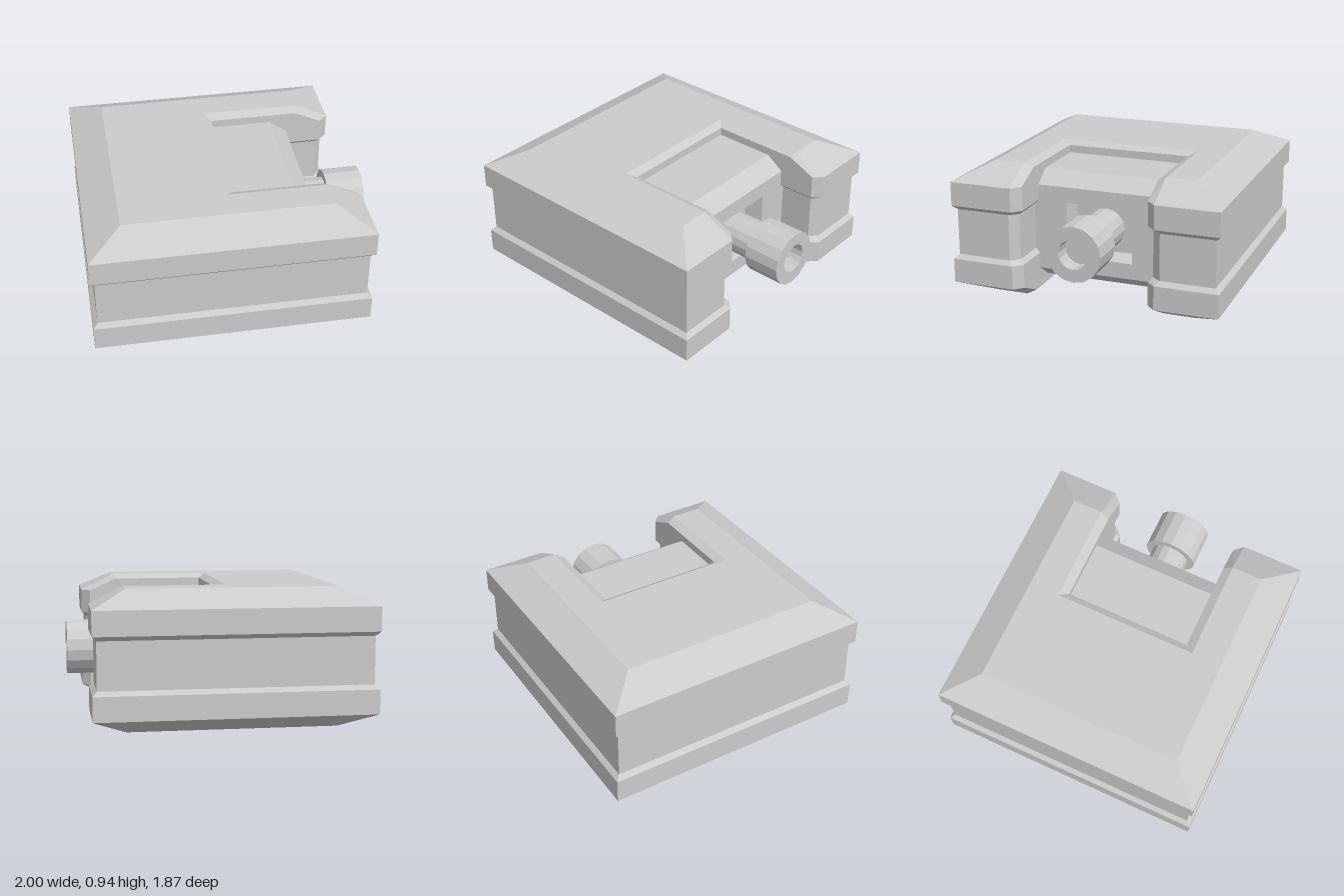
import * as THREE from 'three';

const MID = 0.47; // height of the horizontal mirror plane and the bolt axis
const material = new THREE.MeshStandardMaterial({ color: 0xcccccc, flatShading: true });

function addMesh(parent, name, geometry) {
  const mesh = new THREE.Mesh(geometry, material);
  mesh.name = name;
  parent.add(mesh);
  return mesh;
}

// Skin a list of closed rings; startCap / endCap list quads of corner indices.
function loft(rings, startCap, endCap) {
  const positions = [];
  const tri = (a, b, c) => {
    const area = new THREE.Triangle(a, b, c).getArea();
    if (area > 1e-7) [a, b, c].forEach((p) => positions.push(p.x, p.y, p.z));
  };
  const quad = (a, b, c, d) => { tri(a, b, c); tri(a, c, d); };
  for (let k = 0; k < rings.length - 1; k++) {
    const lo = rings[k], hi = rings[k + 1], n = lo.length;
    for (let i = 0; i < n; i++) {
      const j = (i + 1) % n;
      quad(lo[i], hi[i], hi[j], lo[j]);
    }
  }
  const first = rings[0], last = rings[rings.length - 1];
  startCap.forEach(([a, b, c, d]) => quad(first[a], first[b], first[c], first[d]));
  endCap.forEach(([a, b, c, d]) => quad(last[d], last[c], last[b], last[a]));
  const geometry = new THREE.BufferGeometry();
  geometry.setAttribute('position', new THREE.Float32BufferAttribute(positions, 3));
  geometry.computeVertexNormals();
  return geometry;
}

// Half outline [x, z, y] of the U, mirrored in z to a full ring.
function uRing(half, y) {
  const back = half.map(([x, z, h]) => new THREE.Vector3(x, h ?? y, z));
  const front = back.map((p) => new THREE.Vector3(p.x, p.y, -p.z)).reverse();
  return [...back, ...front];
}

function bodyGeometry() {
  // Order: rear corner, arm tip, tip inner corner (2), arm bend, slot corner
  const full = [[-1, -0.935], [0.87, -0.935], [0.87, -0.5], [0.81, -0.44], [0.62, -0.44], [0, -0.44]];
  const waist = [[-0.97, -0.905], [0.84, -0.905], [0.84, -0.53], [0.79, -0.47], [0.62, -0.47], [-0.03, -0.47]];
  const rimHeights = [0.825, 0.825, 0.825, 0.825, 0.91, 0.91];
  const rim = full.map(([x, z], i) => [x, z, rimHeights[i]]);
  const top = [[-0.77, -0.71], [0.64, -0.71], [0.64, -0.5], [0.64, -0.5], [0.64, -0.5], [-0.05, -0.5]];

  const upper = [uRing(waist, 0.63), uRing(full, 0.66), uRing(rim), uRing(top, 2 * MID)];
  const lower = upper
    .map((ring) => ring.map((p) => new THREE.Vector3(p.x, 2 * MID - p.y, p.z)))
    .reverse();
  const caps = [[0, 1, 2, 5], [0, 5, 6, 11], [6, 9, 10, 11]];
  return loft([...lower, ...upper], caps, caps);
}

// Core block with chamfered front and a tapered square recess
function coreGeometry() {
  const ring = (x, h, w) =>
    [[h, w], [h, -w], [-h, -w], [-h, w]].map(([y, z]) => new THREE.Vector3(x, MID + y, z));
  const cap = [[0, 1, 2, 3]];
  return loft([
    ring(-0.1, 0.385, 0.485),
    ring(0.43, 0.385, 0.485),
    ring(0.55, 0.3, 0.485),
    ring(0.55, 0.19, 0.235),
    ring(0.42, 0.165, 0.21),
  ], cap, cap);
}

// Turned part along x from [radius, x] points
function turned(points) {
  const geometry = new THREE.LatheGeometry(points.map(([r, x]) => new THREE.Vector2(r, x)), 16);
  return geometry.rotateZ(-Math.PI / 2).translate(0, MID + 0.003, 0);
}

export function createModel() {
  const model = new THREE.Group();
  model.name = 'clampBlock';
  addMesh(model, 'body', bodyGeometry());
  addMesh(model, 'coreBlock', coreGeometry());

  const bolt = new THREE.Group();
  bolt.name = 'bolt';
  addMesh(bolt, 'boltShaft', turned([[0.137, 0.4], [0.137, 0.75]]));
  addMesh(bolt, 'boltHead', turned([
    [0, 0.74], [0.19, 0.74], [0.19, 1], [0.103, 1], [0.103, 0.88], [0, 0.88],
  ]));
  model.add(bolt);
  return model;
}
